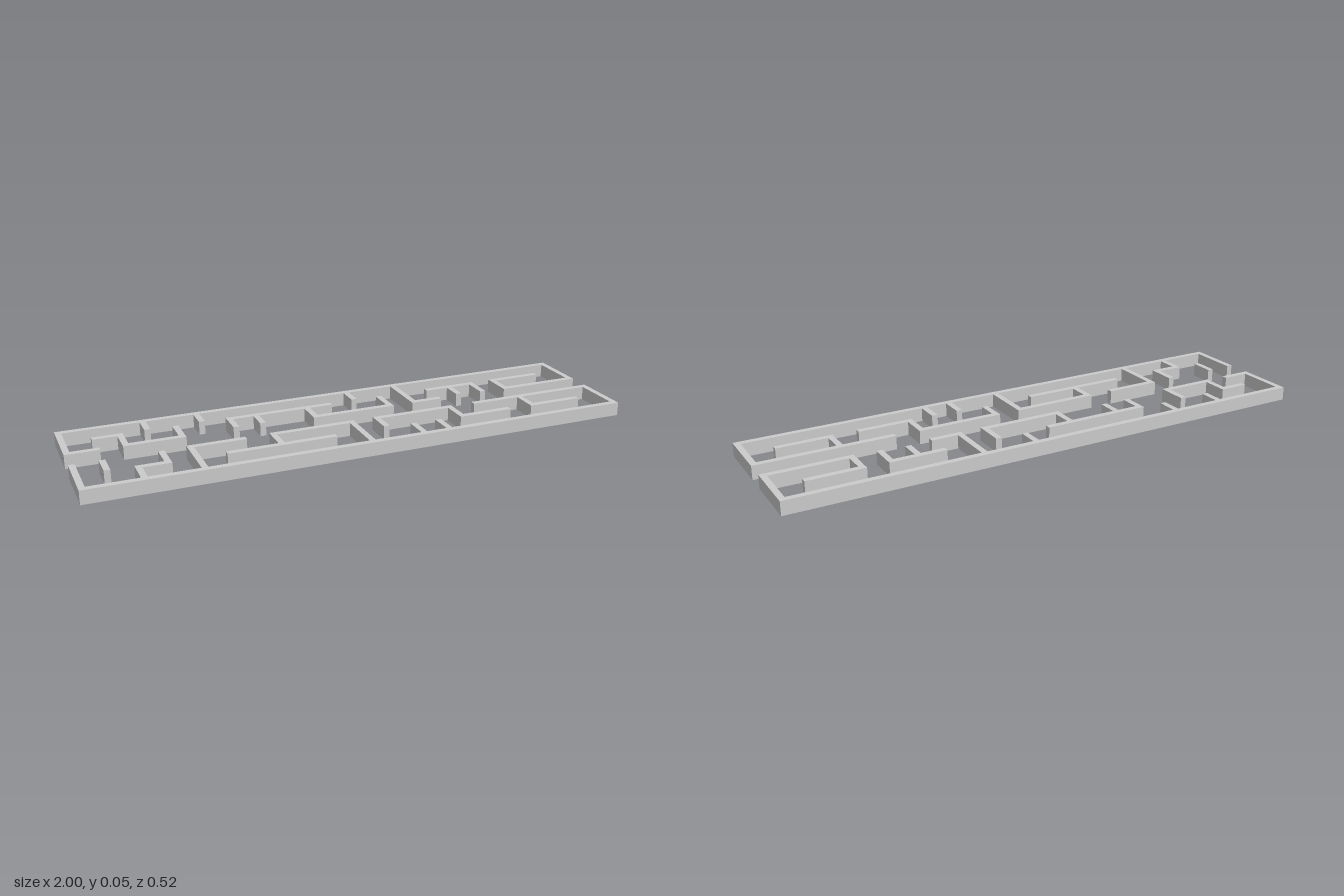
import * as THREE from 'three';

const PITCH = 0.0989;   // maze cell size
const THICK = 0.022;    // wall thickness
const HEIGHT = 0.05;
const E = THICK / 2 / PITCH; // half a wall, in cells

// Walls along x, in cells: [z, start, end]
const BACK_ROWS = [
  [-2.5, -10, 10],
  [-1.5, -9, -8], [-1.5, -4, 0], [-1.5, 4, 6], [-1.5, 7, 9],
  [-0.5, -10, -9 + E], [-0.5, -8, -6], [-0.5, -1, 2], [-0.5, 3, 4 + E], [-0.5, 7, 10],
];
const FRONT_ROWS = [
  [0.5, -6, -4], [0.5, -3, 0], [0.5, 1, 4], [0.5, 5, 10],
  [1.5, -8, -7], [1.5, -5, -1], [1.5, 4, 6], [1.5, 7, 9],
  [2.5, -10, 10],
];

// Walls along z, in cells: [x, start, end]; corners reach half a wall further
const BACK_COLUMNS = [
  [-10, -2.5 - E, -0.5 + E], [-8, -1.5 - E, -0.5 + E], [-7, -2.5, -1.5 - E],
  [-6, -1.5 - E / 2, -0.5 + E], [-5, -2.5, -1.5 - E], [-4, -1.5 - E, -0.5 - E],
  [-3, -1.5, -0.5 - E], [-1, -1.5, -0.5 + E], [1, -2.5, -1.5 - E],
  [2, -1.5 - E / 2, -0.5 + E], [3, -2.5, -0.5 + E], [5, -1.5, -0.5 - E],
  [6, -1.5 - E, -0.5], [7, -1.5 - E, -0.5 + E], [10, -2.5 - E, -0.5 + E],
];
const FRONT_COLUMNS = [
  [-10, 0.5, 2.5 + E], [-9, 0.5, 1.5 - E], [-8, 1.5 - E, 2.5],
  [-7, 0.5, 1.5 + E], [-6, 0.5 - E, 2.5], [-3, 0.5 - E, 1.5],
  [0, 0.5 - E, 2.5], [1, 0.5 - E, 1.5 - E], [2, 1.5, 2.5], [3, 1.5, 2.5],
  [4, 0.5 - E, 1.5 + E], [7, 0.5, 1.5 + E], [10, 0.5 - E, 2.5 + E],
];

export function createModel() {
  const model = new THREE.Group();
  model.name = 'maze';
  const material = new THREE.MeshStandardMaterial({ color: 0xcccccc, flatShading: true });

  // One straight wall standing on the ground
  function addWall(group, name, alongX, line, start, end) {
    const length = (end - start) * PITCH;
    const middle = ((start + end) / 2) * PITCH;
    const geometry = alongX
      ? new THREE.BoxGeometry(length, HEIGHT, THICK)
      : new THREE.BoxGeometry(THICK, HEIGHT, length);
    const wall = new THREE.Mesh(geometry, material);
    wall.name = name;
    if (alongX) wall.position.set(middle, HEIGHT / 2, line * PITCH);
    else wall.position.set(line * PITCH, HEIGHT / 2, middle);
    group.add(wall);
  }

  // The two halves either side of the central corridor
  function addHalf(name, rows, columns) {
    const half = new THREE.Group();
    half.name = name;
    for (const [z, a, b] of rows) {
      // Outer walls fill their end corners
      const outer = Math.abs(z) === 2.5 ? E : 0;
      addWall(half, 'lengthwiseWall', true, z, a - outer, b + outer);
    }
    for (const [x, a, b] of columns) addWall(half, 'crossWall', false, x, a, b);
    model.add(half);
  }

  addHalf('backHalf', BACK_ROWS, BACK_COLUMNS);
  addHalf('frontHalf', FRONT_ROWS, FRONT_COLUMNS);
  return model;
}
